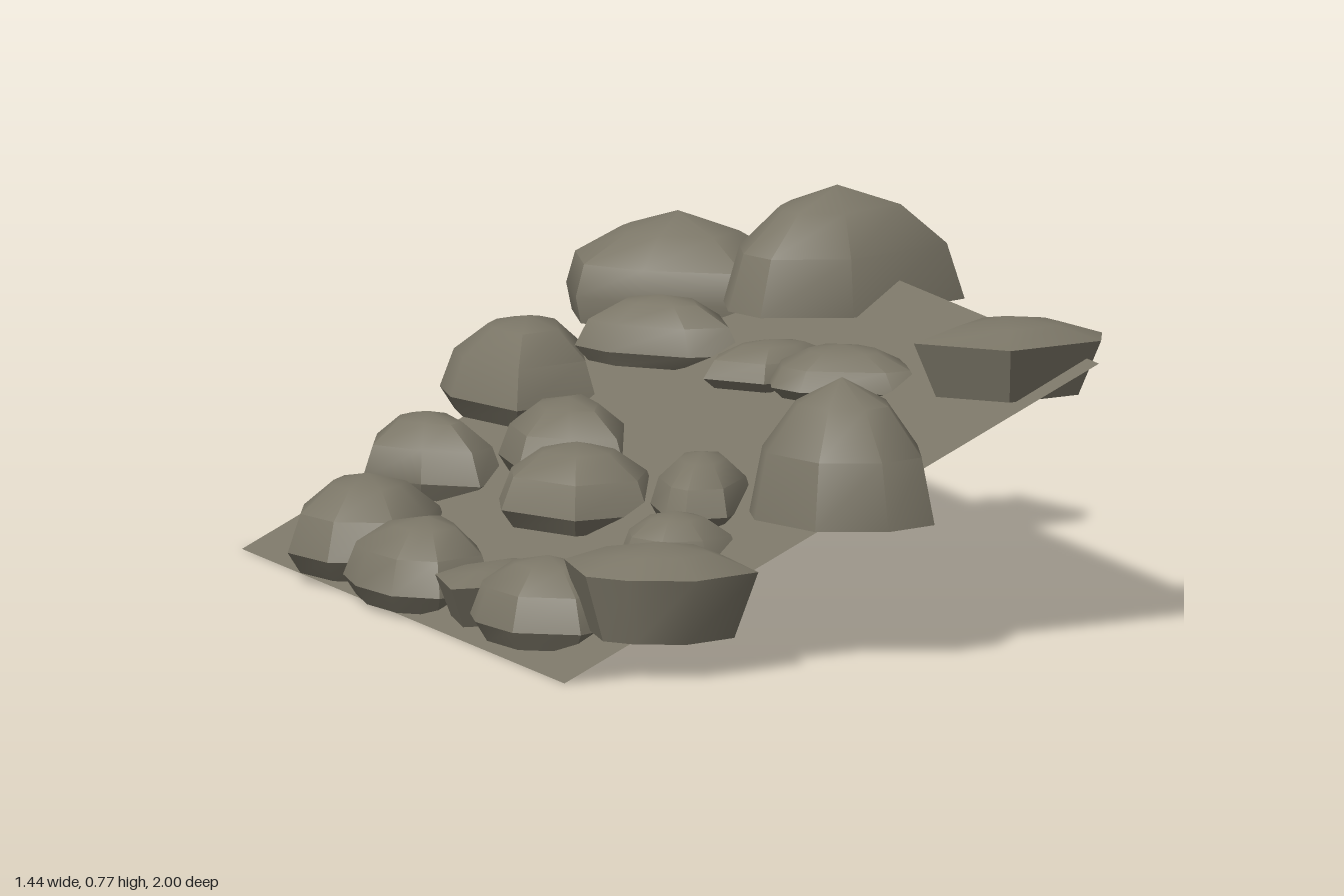
import * as THREE from 'three';
import { toCreasedNormals } from 'three/addons/utils/BufferGeometryUtils.js';

const stone = new THREE.MeshStandardMaterial({ color: 0x7b7667, side: THREE.DoubleSide });
stone.name = 'grey brown stone';

// Rock side profiles: [outline scale, height fraction], bottom to top
const DOME = [[1, 0], [0.86, 0.48], [0.5, 0.82]];
const LOW = [[0.84, 0], [1, 0.22], [0.84, 0.62], [0.45, 0.9]];
const BLOCK = [[0.95, 0], [1, 0.25], [0.92, 0.55], [0.5, 0.82]];
const BOWL = [[0.76, 0], [1, 0.72], [0.55, 0.9]];

// Stacks scaled copies of a clockwise [x, z] outline and closes both ends
function rockGeometry(outline, y0, y1, profile) {
  const pts = outline.slice().reverse();
  const n = pts.length;
  const box = new THREE.Box2().setFromPoints(pts.map(([x, z]) => new THREE.Vector2(x, z)));
  const c = box.getCenter(new THREE.Vector2());
  const rings = profile.map(([s, h]) => pts.map(([x, z]) =>
    [c.x + (x - c.x) * s, y0 + (y1 - y0) * h, c.y + (z - c.y) * s]));
  const bottom = [c.x, y0, c.y];
  const top = [c.x, y1, c.y];
  const last = rings[rings.length - 1];
  const pos = [];
  for (let i = 0; i < n; i++) {
    const j = (i + 1) % n;
    pos.push(...bottom, ...rings[0][j], ...rings[0][i]);
    for (let k = 0; k + 1 < rings.length; k++) {
      const a = rings[k], b = rings[k + 1];
      pos.push(...a[i], ...a[j], ...b[j], ...a[i], ...b[j], ...b[i]);
    }
    pos.push(...top, ...last[i], ...last[j]);
  }
  const g = new THREE.BufferGeometry();
  g.setAttribute('position', new THREE.Float32BufferAttribute(pos, 3));
  return toCreasedNormals(g, 0.75);
}

export function createModel() {
  const model = new THREE.Group();
  model.name = 'rockySlope';

  // Sloping ground sheet, rising toward +x
  const sheet = new THREE.PlaneGeometry(1.2, 1.72).rotateX(-Math.PI / 2).translate(-0.05, 0, 0.03);
  const p = sheet.attributes.position;
  for (let i = 0; i < p.count; i++) p.setY(i, (p.getX(i) + 0.65) * 0.491);
  sheet.computeVertexNormals();
  const ground = new THREE.Mesh(sheet, stone);
  ground.name = 'slopeSheet';
  model.add(ground);

  const rock = (name, y0, y1, profile, ...outline) => {
    const m = new THREE.Mesh(rockGeometry(outline, y0, y1, profile), stone);
    m.name = name;
    model.add(m);
  };

  // Upper (right) rocks
  rock('backRightBoulder', 0.435, 0.66, BLOCK, [0.07, -0.76], [0.12, -0.93], [0.19, -0.99], [0.32, -1],
    [0.46, -0.92], [0.52, -0.63], [0.35, -0.5], [0.16, -0.63]);
  rock('rightBoulder', 0.53, 0.775, DOME, [0.21, -0.28], [0.25, -0.4], [0.34, -0.5], [0.65, -0.5],
    [0.72, -0.23], [0.42, -0.11], [0.24, -0.18]);
  rock('rightSmallRock', 0.41, 0.505, LOW, [0.07, -0.08], [0.11, -0.15], [0.21, -0.18], [0.35, -0.14],
    [0.38, -0.07], [0.29, 0.02], [0.16, 0.03]);
  rock('rightMiddleRock', 0.435, 0.54, LOW, [0.1, 0.21], [0.14, 0.11], [0.25, 0.05], [0.37, 0.13],
    [0.41, 0.24], [0.37, 0.38], [0.3, 0.39], [0.13, 0.29]);
  rock('frontRightRock', 0.51, 0.67, BOWL, [0.21, 0.71], [0.39, 0.56], [0.6, 0.65],
    [0.62, 0.74], [0.58, 0.83], [0.36, 0.87]);

  // Middle rocks
  rock('backMiddleRock', 0.27, 0.47, LOW, [-0.24, -0.69], [-0.21, -0.82], [-0.13, -0.91], [-0.03, -0.94],
    [0.08, -0.92], [0.12, -0.81], [0.02, -0.53], [-0.18, -0.48]);
  rock('backTuckedRock', 0.39, 0.53, LOW, [0, -0.6], [0.08, -0.69], [0.32, -0.53],
    [0.27, -0.35], [0.16, -0.37], [0.03, -0.5]);
  rock('centreLongRock', 0.21, 0.37, LOW, [-0.29, -0.21], [-0.26, -0.39], [-0.19, -0.49], [0.02, -0.53],
    [0, -0.28], [-0.1, -0.09], [-0.21, -0.13]);
  rock('centreRock', 0.17, 0.34, LOW, [-0.43, 0.03], [-0.38, -0.1], [-0.26, -0.15], [-0.14, -0.09],
    [-0.09, 0.07], [-0.17, 0.2], [-0.34, 0.21]);
  rock('frontLongRock', 0.23, 0.37, LOW, [-0.26, 0.5], [-0.23, 0.35], [-0.15, 0.23], [-0.08, 0.21],
    [0, 0.27], [-0.03, 0.43], [-0.15, 0.57], [-0.24, 0.56]);
  rock('frontSmallRock', 0.165, 0.29, LOW, [-0.4, 0.61], [-0.36, 0.5], [-0.26, 0.47], [-0.17, 0.56],
    [-0.16, 0.67], [-0.26, 0.73], [-0.36, 0.71]);
  rock('frontMiddleBoulder', 0.285, 0.575, DOME, [-0.16, 0.74], [-0.13, 0.64], [0, 0.53], [0.18, 0.57],
    [0.22, 0.77], [0.16, 0.94], [0.04, 0.98], [-0.1, 0.92]);

  // Lower (left) rocks
  rock('backLeftRock', 0.14, 0.31, LOW, [-0.48, -0.59], [-0.41, -0.73], [-0.33, -0.77], [-0.26, -0.75],
    [-0.2, -0.69], [-0.22, -0.45], [-0.3, -0.39], [-0.4, -0.47]);
  rock('lowBackRock', 0.02, 0.22, LOW, [-0.72, -0.42], [-0.66, -0.54], [-0.57, -0.63], [-0.45, -0.59],
    [-0.36, -0.39], [-0.44, -0.28], [-0.56, -0.21], [-0.69, -0.28]);
  rock('lowMiddleRock', 0.01, 0.19, LOW, [-0.71, -0.08], [-0.68, -0.22], [-0.56, -0.25], [-0.41, -0.25],
    [-0.43, -0.05], [-0.47, 0.08], [-0.61, 0.13], [-0.69, 0.06]);
  rock('lowFlatRock', 0.03, 0.15, BOWL, [-0.69, 0.38], [-0.65, 0.2], [-0.43, 0.14], [-0.37, 0.2],
    [-0.38, 0.27], [-0.5, 0.4]);
  rock('lowFrontRock', 0.03, 0.21, LOW, [-0.69, 0.51], [-0.66, 0.41], [-0.5, 0.39], [-0.41, 0.56],
    [-0.45, 0.69], [-0.55, 0.74], [-0.67, 0.66]);
  rock('frontLeftBoulder', 0.075, 0.27, BOWL, [-0.59, 0.86], [-0.55, 0.65], [-0.36, 0.64], [-0.23, 0.74],
    [-0.24, 0.95], [-0.4, 1], [-0.53, 0.94]);

  return model;
}
